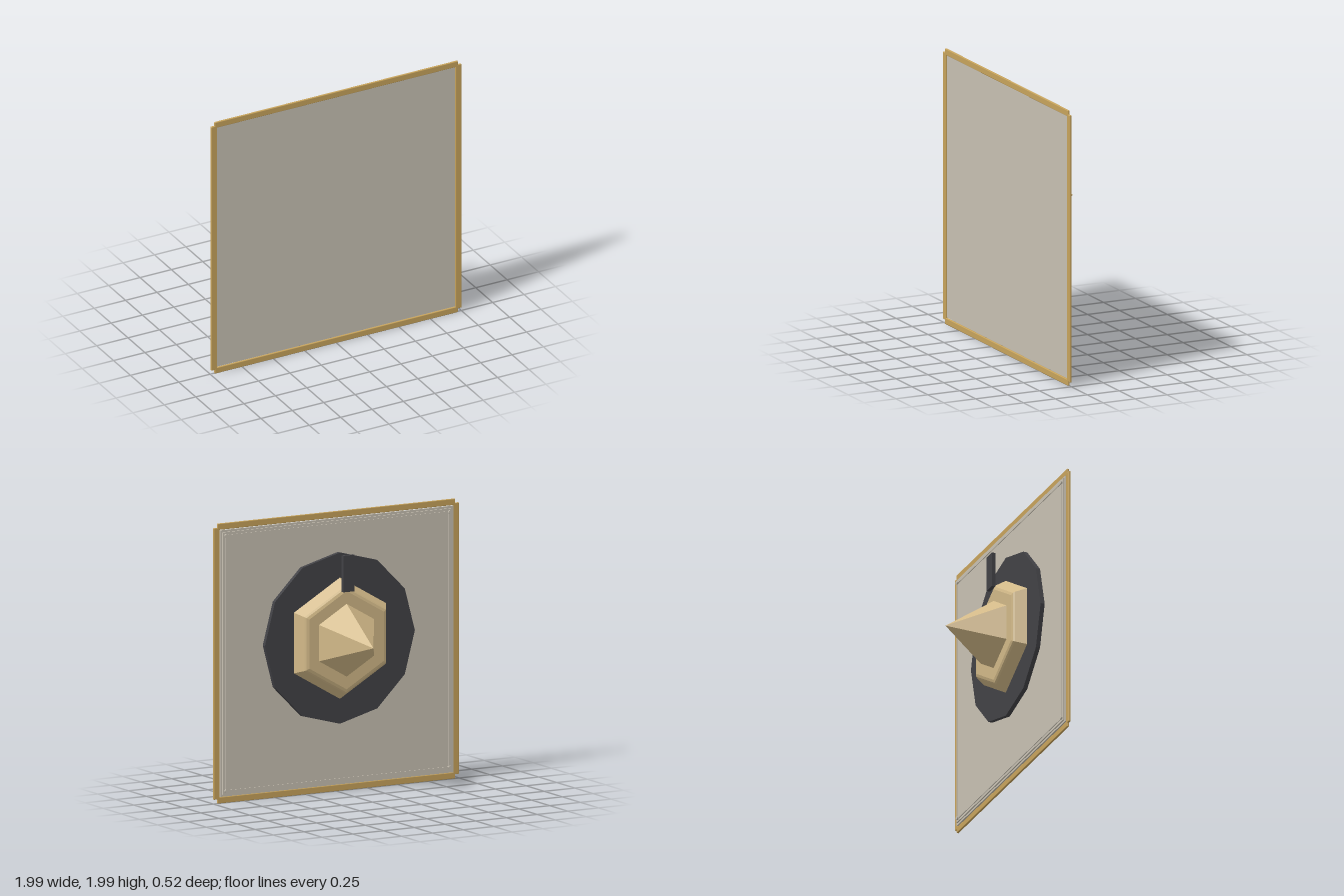
import * as THREE from 'three';
import { RoundedBoxGeometry } from 'three/addons/geometries/RoundedBoxGeometry.js';

const material = (name, color) => {
  const m = new THREE.MeshStandardMaterial({ color });
  m.name = name;
  return m;
};

export function createModel() {
  const model = new THREE.Group();
  model.name = 'spikedPanel';
  const gold = material('gold', 0xc8a45c);
  const tan = material('tan', 0xd2b988);
  const charcoal = material('charcoal', 0x424246);
  const stone = material('stone', 0xc8c1b3);

  const add = (name, geometry, mat, x = 0, y = 0, z = 0) => {
    const mesh = new THREE.Mesh(geometry, mat);
    mesh.name = name;
    mesh.position.set(x, y, z);
    model.add(mesh);
    return mesh;
  };
  const box = (w, h, d) => new THREE.BoxGeometry(w, h, d);

  // Faceted solid turned around z; profile is [radius, distance towards the back]
  const faceted = (profile, sides) => {
    const points = profile.map(([r, d]) => new THREE.Vector2(r, d));
    const g = new THREE.LatheGeometry(points, sides).toNonIndexed();
    g.rotateX(-Math.PI / 2);
    g.computeVertexNormals();
    return g;
  };

  const midY = 1, hubY = 1.1;

  // Stepped panel
  add('panel', box(1.9, 1.9, 0.012), stone, 0, midY, 0.246);
  add('panelBack', box(1.87, 1.87, 0.01), stone, 0, midY, 0.236);

  // Frame bars, notched at the corners
  for (const s of [-1, 1]) {
    add('frameSide', new RoundedBoxGeometry(0.048, 1.936, 0.016, 2, 0.005), gold, s * 0.973, midY, 0.254);
    add('frameRail', new RoundedBoxGeometry(1.936, 0.045, 0.016, 2, 0.005), gold, 0, midY + s * 0.975, 0.254);
  }

  // Thin rails and corner studs on the back
  for (const s of [-1, 1]) {
    add('backRailSide', box(0.012, 1.82, 0.006), stone, s * 0.91, midY, 0.229);
    add('backRail', box(1.82, 0.012, 0.006), stone, 0, midY + s * 0.91, 0.229);
    for (const t of [-1, 1]) {
      const stud = new THREE.CylinderGeometry(0.013, 0.013, 0.014, 12);
      stud.rotateX(-Math.PI / 2);
      add('cornerStud', stud, stone, s * 0.91, midY + t * 0.91, 0.226);
    }
  }

  // Twelve-sided backing disc
  add('disc', faceted([[0, -0.232], [0.61, -0.232], [0.61, -0.2], [0, -0.2]], 12), charcoal, 0, hubY);

  // Hexagonal base with a softened rim
  add('hexBase', faceted([
    [0, -0.201], [0.433, -0.201], [0.384, -0.125], [0.372, -0.114], [0.35, -0.107], [0, -0.107],
  ], 6), tan, 0, hubY);

  // Hexagonal spike
  add('spike', faceted([[0, -0.108], [0.26, -0.108], [0, 0.262]], 6), tan, 0, hubY);

  // Upright tab behind the base
  add('tab', box(0.092, 0.26, 0.025), charcoal, 0, 1.58, 0.087);

  return model;
}
